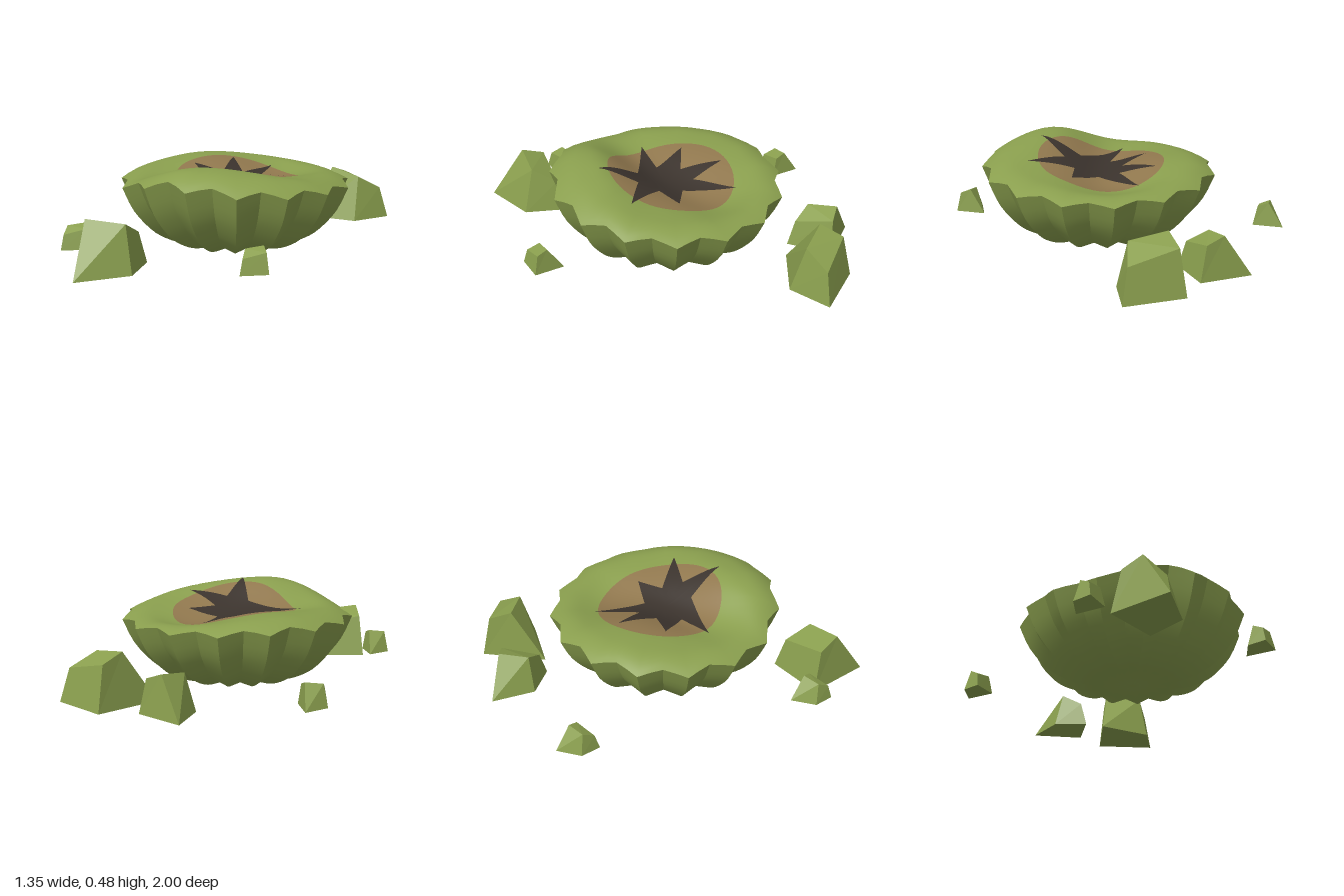
import * as THREE from 'three';
import { mergeVertices, toCreasedNormals } from 'three/addons/utils/BufferGeometryUtils.js';

const CX = 0.077, CZ = -0.027;

// rolling top surface: front hill, lower back hill, diagonal valley between, back trough, drooping rim
function height(x, z) {
  const zr = z + 0.33 * (x - 0.1);
  const dx = (x - 0.1) / (x > 0.1 ? 0.45 : 0.29), dz = (zr - 0.36) / (zr > 0.36 ? 0.35 : 0.2);
  const hill = 0.092 * Math.exp(-dx * dx - dz * dz);
  const back = 0.02 * Math.exp(-(((x + 0.24) / 0.22) ** 2) - ((z + 0.28) / 0.22) ** 2);
  const trough = 0.042 * Math.exp(-(((x - 0.17) / 0.2) ** 2) - ((z + 0.36) / 0.18) ** 2);
  const across = (x - CX + z - CZ) / Math.SQRT2, along = (x - z) / Math.SQRT2;
  const valley = 0.055 * Math.exp(-(((across + 0.02) / 0.16) ** 2) - ((along - 0.05) / 0.45) ** 2);
  const r = Math.hypot(x - CX, z - CZ);
  const droop = 0.047 * Math.max(0, (r - 0.45) / 0.155) ** 2;
  return 0.385 + hill + back - trough - valley - droop;
}

// split every edge of a closed outline into n parts
function subdivide(corners, n) {
  const out = [];
  corners.forEach(([x, z], i) => {
    const [u, w] = corners[(i + 1) % corners.length];
    for (let k = 0; k < n; k++) out.push([x + (u - x) * k / n, z + (w - z) * k / n]);
  });
  return out;
}

function fromTriangles(pos) {
  const g = new THREE.BufferGeometry();
  g.setAttribute('position', new THREE.Float32BufferAttribute(pos, 3));
  return g;
}

function pushQuad(pos, a, b, c, d) {
  pos.push(...a, ...b, ...c, ...a, ...c, ...d);
}

// a patch inside an outline that follows the top surface
function drape(outline, cx, cz, rings, lift) {
  const at = (i, k) => {
    const [x, z] = outline[i % outline.length], t = k / rings;
    const px = cx + (x - cx) * t, pz = cz + (z - cz) * t;
    return [px, height(px, pz) + lift, pz];
  };
  const pos = [];
  for (let i = 0; i < outline.length; i++) {
    pos.push(...at(i, 0), ...at(i + 1, 1), ...at(i, 1));
    for (let k = 1; k < rings; k++) pushQuad(pos, at(i, k), at(i + 1, k), at(i + 1, k + 1), at(i, k + 1));
  }
  const g = mergeVertices(fromTriangles(pos));
  g.computeVertexNormals();
  return g;
}

// fluted underside rising from a point to the scalloped rim
function bowl(outline) {
  const profile = new THREE.SplineCurve([
    [0, 0], [0.25, 0.005], [0.46, 0.04], [0.63, 0.155], [0.76, 0.32], [0.905, 0.63], [1, 1],
  ].map(p => new THREE.Vector2(...p))).getPoints(18);
  const at = (i, k) => {
    const n = i % outline.length, [x, z] = outline[n], p = profile[k];
    const groove = [0, 0.5, 1, 0.5][n % 4];
    const t = p.x * (1 - 0.07 * groove * (1 - p.x));
    const y = Math.max(0, p.y) * height(x, z) + 0.06 * groove * p.x * (1 - p.x);
    return [CX + (x - CX) * t, y, CZ + (z - CZ) * t];
  };
  const pos = [];
  for (let i = 0; i < outline.length; i++) {
    pos.push(...at(i, 0), ...at(i, 1), ...at(i + 1, 1));
    for (let k = 1; k < profile.length - 1; k++) pushQuad(pos, at(i + 1, k), at(i, k), at(i, k + 1), at(i + 1, k + 1));
  }
  return toCreasedNormals(fromTriangles(pos), 0.42);
}

// four-sided chunk: base corners [x, z], top corners [x, y, z], clockwise from above
function rock(base, top) {
  const b = base.map(([x, z]) => [x, 0, z]), pos = [];
  for (let i = 0; i < 4; i++) {
    const j = (i + 1) % 4;
    pushQuad(pos, b[j], b[i], top[i], top[j]);
  }
  pushQuad(pos, top[3], top[2], top[1], top[0]);
  pushQuad(pos, ...b);
  const g = fromTriangles(pos);
  g.computeVertexNormals();
  return g;
}

export function createModel() {
  const group = new THREE.Group();
  const material = (name, color) => new THREE.MeshStandardMaterial({ name, color });
  const green = material('mossGreen', 0x8a9f4e);
  const brown = material('earthBrown', 0x91784e);
  const dark = material('darkHollow', 0x3b332d);
  const add = (name, geometry, mat) => {
    const mesh = new THREE.Mesh(geometry, mat);
    mesh.name = name;
    group.add(mesh);
    return mesh;
  };

  // scalloped body with fifteen lobes
  const corners = Array.from({ length: 30 }, (_, i) => {
    const a = Math.PI + i * Math.PI / 15, r = i % 2 ? 0.563 : 0.607;
    return [CX + r * Math.cos(a), CZ + r * Math.sin(a)];
  });
  const rim = subdivide(corners, 2);
  add('flutedBowl', bowl(rim), green);
  add('topSurface', drape(rim, CX, CZ, 22, 0), green);

  // round patch and jagged seven-pointed star lying on the top
  const circle = Array.from({ length: 56 }, (_, i) => {
    const a = i * Math.PI / 28;
    return [0.08 + 0.327 * Math.cos(a), -0.052 + 0.327 * Math.sin(a)];
  });
  add('brownPatch', drape(circle, 0.08, -0.052, 14, 0.004), brown);
  const star = [
    [0.106, -0.394], [0.148, -0.12], [0.32, -0.124], [0.22, -0.01], [0.435, 0.1], [0.205, 0.1], [0.21, 0.305],
    [0.085, 0.12], [-0.225, 0.145], [-0.05, 0.04], [-0.2, -0.075], [-0.03, -0.09], [-0.085, -0.3], [0.05, -0.165],
  ];
  add('darkStar', drape(subdivide(star, 6), 0.09, -0.02, 14, 0.008), dark);

  // one rock shape, turned and scaled around the body
  const chunk = rock(
    [[0.083, -0.19], [0.143, 0.03], [-0.037, 0.258], [-0.188, -0.05]],
    [[0.068, 0.168, -0.142], [0.086, 0.24, -0.006], [-0.086, 0.265, 0.086], [-0.148, 0.222, -0.018]]);
  [
    ['frontRock', -0.183, 0.01, 0.74, 0, 1],
    ['backLeftRock', 0.407, 0.01, -0.824, 46.7, 1.02],
    ['backRock', 0.019, 0.01, -0.823, 132.3, 0.79],
    ['smallBackRock', -0.608, 0.06, -0.583, 169.7, 0.46],
    ['smallFrontRightRock', -0.47, 0.06, 0.645, 169.7, 0.46],
    ['smallFrontLeftRock', 0.504, 0.06, 0.56, 169.7, 0.46],
  ].forEach(([name, x, y, z, turn, size]) => {
    const mesh = add(name, chunk, green);
    mesh.position.set(x, y, z);
    mesh.rotation.y = -THREE.MathUtils.degToRad(turn);
    mesh.scale.setScalar(size);
  });
  return group;
}
